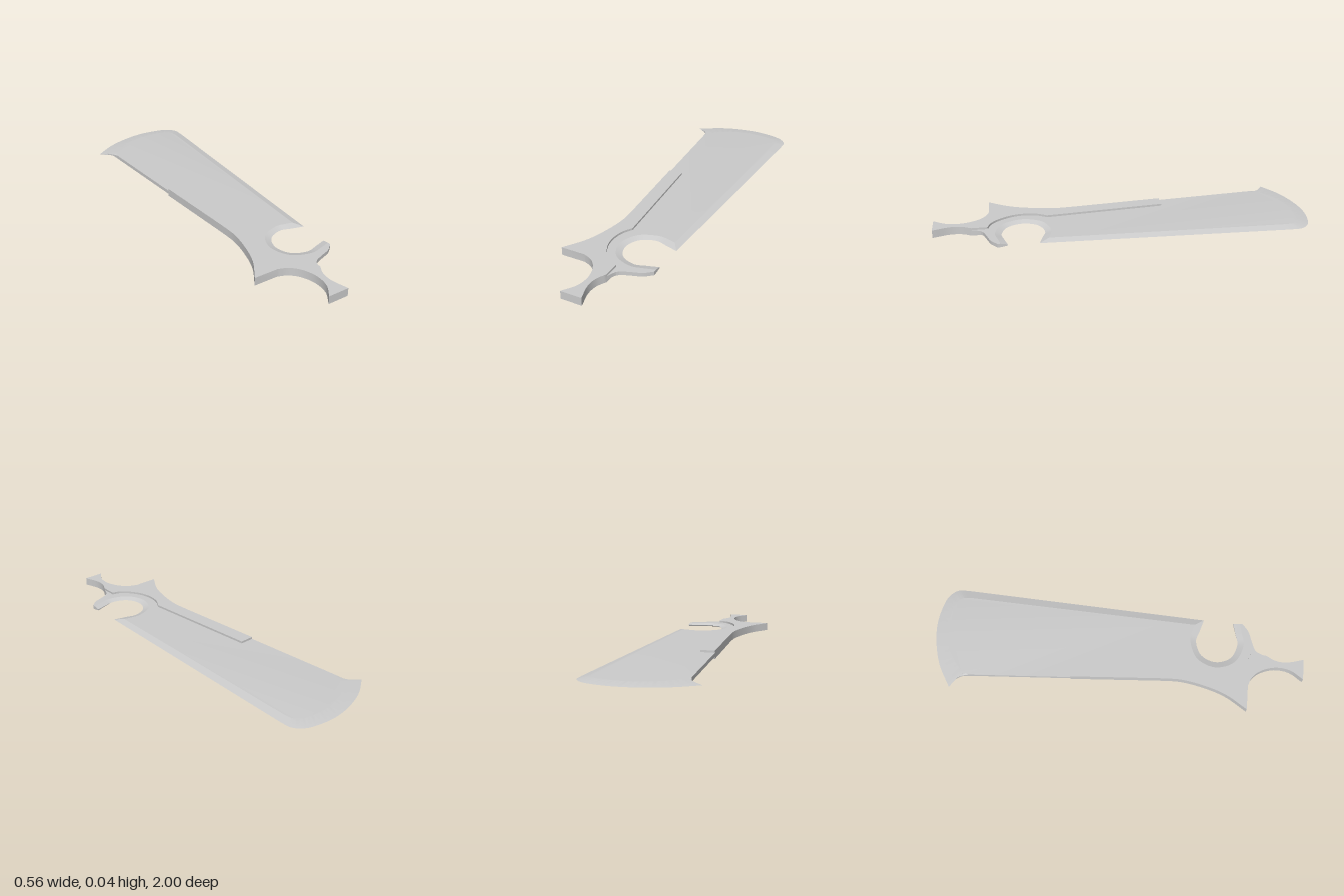
import * as THREE from 'three';
import { toCreasedNormals } from 'three/addons/utils/BufferGeometryUtils.js';

const MID = 0.022;   // height of the blade's centre plane
const HALF = 0.01;   // half thickness of the blade
const HANDLE = 0.043;

const grey = () => new THREE.MeshStandardMaterial({ color: 0xcccccc, side: THREE.DoubleSide });

// Smooth curve through [x, z, height] points, without its last point
function sample(points, steps) {
  const v = points.map(([x, z, h = 0]) => new THREE.Vector3(x, h, z));
  const curve = new THREE.CatmullRomCurve3(v);
  return Array.from({ length: steps }, (_, i) => curve.getPoint(i / steps));
}

// Flat plate whose rim falls from an inner contour to a thinner outer contour
function bevelledPlate(runs) {
  const outer = [], inner = [];
  for (const { rim, inset = rim, steps } of runs) {
    outer.push(...sample(rim, steps));
    inner.push(...sample(inset, steps));
  }
  const pos = [];
  const at = (p, h) => [p.x, MID + h, p.z];
  const tri = (a, b, c) => pos.push(...a, ...b, ...c);
  const quad = (a, b, c, d) => { tri(a, b, c); tri(a, c, d); };
  const flat = inner.map((p) => new THREE.Vector2(p.x, -p.z));
  for (const [a, b, c] of THREE.ShapeUtils.triangulateShape(flat, [])) {
    tri(at(inner[a], HALF), at(inner[b], HALF), at(inner[c], HALF));
    tri(at(inner[c], -HALF), at(inner[b], -HALF), at(inner[a], -HALF));
  }
  outer.forEach((o, i) => {
    const j = (i + 1) % outer.length;
    const q = outer[j], m = inner[i], n = inner[j];
    const h = Math.max(o.y, 0), k = Math.max(q.y, 0);
    if (m.distanceTo(o) + n.distanceTo(q) > 0.012 || m.x !== o.x || n.x !== q.x) {
      quad(at(o, h), at(q, k), at(n, HALF), at(m, HALF));
      quad(at(m, -HALF), at(n, -HALF), at(q, -k), at(o, -h));
    }
    if (h + k > 0) quad(at(o, -h), at(q, -k), at(q, k), at(o, h));
  });
  const g = new THREE.BufferGeometry();
  g.setAttribute('position', new THREE.Float32BufferAttribute(pos, 3));
  return toCreasedNormals(g, 0.18);
}

function makeBlade() {
  const T = HALF;
  const runs = [
    // long cutting edge
    { rim: [[0.235, 0.455], [0.28, -0.86]], inset: [[0.2, 0.405], [0.235, -0.85]], steps: 8 },
    // rounded tip
    {
      rim: [[0.28, -0.86], [0.275, -0.92], [0.235, -0.965], [0.16, -0.99], [0.06, -1],
        [-0.05, -0.985], [-0.17, -0.945], [-0.285, -0.875]],
      inset: [[0.235, -0.85], [0.228, -0.885], [0.2, -0.915], [0.135, -0.932], [0.05, -0.935],
        [-0.04, -0.92], [-0.125, -0.88], [-0.195, -0.82]],
      steps: 42,
    },
    // hooked back corner
    {
      rim: [[-0.285, -0.875, 0], [-0.245, -0.853, 0.003], [-0.22, -0.82, 0.005], [-0.21, -0.78, T]],
      inset: [[-0.195, -0.82], [-0.197, -0.81], [-0.203, -0.795], [-0.21, -0.78]],
      steps: 10,
    },
    // spine
    { rim: [[-0.21, -0.78, T], [-0.168, -0.23, T]], steps: 3 },
    // root buried in the handle
    {
      rim: [[-0.168, -0.23, T], [-0.1, 0.38, T]], steps: 1,
    },
    {
      rim: [[-0.1, 0.38, T], [-0.11, 0.53, T], [-0.06, 0.68, T], [0.01, 0.74, T], [0.055, 0.8, T]],
      steps: 10,
    },
    // underside of the finger prong
    { rim: [[0.055, 0.8, T], [0.08, 0.745, T], [0.135, 0.72, T], [0.19, 0.7, T], [0.23, 0.667, T]], steps: 14 },
    // prong end
    { rim: [[0.23, 0.667, T], [0.23, 0.615, 0.003]], inset: [[0.23, 0.667], [0.23, 0.65]], steps: 1 },
    // round finger notch
    {
      rim: [[0.23, 0.615, 0.003], [0.17, 0.632, 0.002], [0.11, 0.645], [0.03, 0.612], [-0.002, 0.533],
        [0.03, 0.453], [0.11, 0.42], [0.165, 0.435], [0.235, 0.455]],
      inset: [[0.23, 0.65], [0.175, 0.665], [0.11, 0.678], [0.007, 0.635], [-0.035, 0.533],
        [0.007, 0.43], [0.11, 0.388], [0.16, 0.395], [0.2, 0.405]],
      steps: 48,
    },
  ];
  const blade = new THREE.Mesh(bevelledPlate(runs), grey());
  blade.name = 'blade';
  return blade;
}

function makeHandle() {
  const runs = [
    // inner edge along the blade
    [[[-0.168, -0.237], [-0.092, -0.237]], 1],
    [[[-0.092, -0.237], [-0.04, 0.4]], 1],
    // curve round the notch
    [[[-0.04, 0.4], [-0.068, 0.45], [-0.08, 0.515], [-0.07, 0.585], [-0.03, 0.66], [0.012, 0.7], [0.055, 0.715]], 24],
    [[[0.055, 0.715], [0.055, 0.8]], 1],
    // waisted tail
    [[[0.055, 0.8], [0.031, 0.85], [0.027, 0.91], [0.052, 1]], 14],
    [[[0.052, 1], [-0.06, 1]], 1],
    [[[-0.06, 1], [-0.016, 0.93], [-0.008, 0.85], [-0.037, 0.77], [-0.08, 0.727], [-0.125, 0.709]], 20],
    // rear spur
    [[[-0.125, 0.709], [-0.255, 0.709]], 1],
    [[[-0.255, 0.709], [-0.183, 0.59], [-0.143, 0.46], [-0.126, 0.35], [-0.13, 0.24]], 20],
    [[[-0.13, 0.24], [-0.168, -0.237]], 1],
  ];
  const outline = runs.flatMap(([points, steps]) => sample(points, steps))
    .map((p) => new THREE.Vector2(p.x, -p.z));
  const g = new THREE.ExtrudeGeometry(new THREE.Shape(outline), { depth: HANDLE, bevelEnabled: false });
  g.rotateX(-Math.PI / 2);
  const handle = new THREE.Mesh(toCreasedNormals(g, 0.5), grey());
  handle.name = 'handle';
  return handle;
}

export function createModel() {
  const model = new THREE.Group();
  model.name = 'broadBlade';
  model.add(makeBlade(), makeHandle());
  return model;
}
